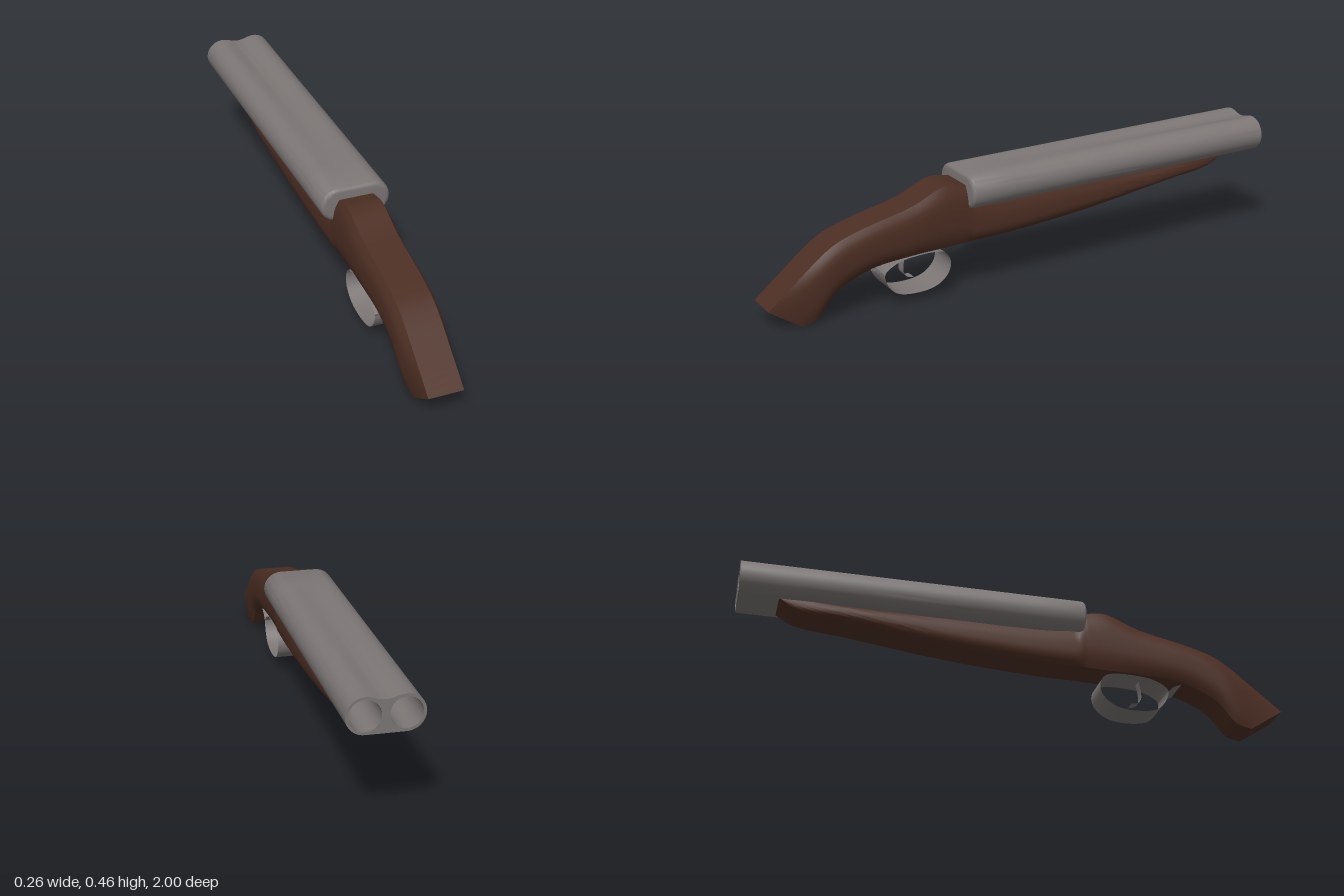
import * as THREE from 'three';
import { toCreasedNormals } from 'three/addons/utils/BufferGeometryUtils.js';

const wood = new THREE.MeshStandardMaterial({ color: 0x4c2e23 });
wood.name = 'darkWood';
const steel = new THREE.MeshStandardMaterial({ color: 0x7c7675, side: THREE.DoubleSide });
steel.name = 'greySteel';

// Smooth side-view path through [z, y] points
const path = (points, closed = false) =>
  new THREE.CatmullRomCurve3(points.map(([z, y]) => new THREE.Vector3(0, y, z)), closed);

// Skin a list of rings (counter-clockwise seen from +z, running towards -z)
function loft(rings, capStart, capEnd, crease) {
  const n = rings[0].length, pos = [];
  const tri = (...pts) => pts.forEach(p => pos.push(p.x, p.y, p.z));
  for (let i = 0; i < rings.length - 1; i++) {
    for (let j = 0; j < n; j++) {
      const k = (j + 1) % n;
      const a = rings[i][j], b = rings[i][k], c = rings[i + 1][k], d = rings[i + 1][j];
      tri(a, d, b);
      tri(b, d, c);
    }
  }
  const cap = (ring, flip) => {
    const mid = new THREE.Vector3();
    ring.forEach(p => mid.addScaledVector(p, 1 / n));
    ring.forEach((p, j) => {
      const q = ring[(j + 1) % n];
      if (flip) tri(mid, q, p); else tri(mid, p, q);
    });
  };
  if (capStart) cap(rings[0], false);
  if (capEnd) cap(rings[rings.length - 1], true);
  const g = new THREE.BufferGeometry();
  g.setAttribute('position', new THREE.Float32BufferAttribute(pos, 3));
  return toCreasedNormals(g, crease);
}

// Stock section between a top and a bottom point: flat top and bottom, bulging sides
function stockRing(top, bottom, topWidth) {
  const side = [], steps = 10;
  const taper = THREE.MathUtils.smoothstep(1 - top.z, -0.06, 0.22) * THREE.MathUtils.smoothstep(top.z, -1.05, -0.5);
  for (let i = 0; i <= steps; i++) {
    const t = i / steps;
    const base = THREE.MathUtils.lerp(0.063, topWidth, t);
    const mid = Math.max(base, 0.063 + 0.024 * taper);
    const p = bottom.clone().lerp(top, t);
    p.x = base + (mid - base) * (1 - Math.abs(2 * t - 1) ** 3);
    side.push(p);
  }
  const other = side.map(p => new THREE.Vector3(-p.x, p.y, p.z)).reverse();
  return [...side, ...other];
}

// Stock sections sampled along matching top and bottom lines
function stockRings(topLine, bottomLine, count, topWidth) {
  const top = path(topLine), bottom = path(bottomLine), rings = [];
  for (let i = 0; i <= count; i++) {
    rings.push(stockRing(top.getPoint(i / count), bottom.getPoint(i / count), topWidth(i / count)));
  }
  return rings;
}

// Barrel section: two round sides joined by a flat bottom and a dipping top
const HALF = 0.066, RADIUS = 0.063;
function barrelRing(z, inset = 0) {
  const t = (0.25 - z) / 1.25;
  const y = 0.378 + 0.0225 * t, r = RADIUS - inset, dip = 0.013 * t;
  const ring = [], arc = 20, span = 16;
  const addArc = (x, start) => {
    for (let i = 0; i <= arc; i++) {
      const a = start + Math.PI * i / arc;
      ring.push(new THREE.Vector3(x + r * Math.cos(a), y + r * Math.sin(a), z));
    }
  };
  addArc(HALF, -Math.PI / 2);
  for (let i = 1; i < span; i++) {
    const x = HALF * (1 - 2 * i / span);
    ring.push(new THREE.Vector3(x, y + r - dip * Math.cos(Math.PI * x / (2 * HALF)) ** 2, z));
  }
  addArc(-HALF, Math.PI / 2);
  return ring;
}

// Bent metal strip following a path
function strip(curve, width) {
  const n = 48;
  const g = new THREE.PlaneGeometry(width, 1, 1, n);
  const p = g.attributes.position;
  for (let i = 0; i < p.count; i++) {
    const c = curve.getPoint(Math.floor(i / 2) / n);
    p.setXYZ(i, p.getX(i), c.y, c.z);
  }
  g.computeVertexNormals();
  return g;
}

export function createModel() {
  const group = new THREE.Group();
  const add = (name, geometry, material) => {
    const mesh = new THREE.Mesh(geometry, material);
    mesh.name = name;
    group.add(mesh);
    return mesh;
  };

  // Grip, then the fore-end that steps down under the barrels
  const grip = stockRings(
    [[1, 0.08], [0.9, 0.163], [0.76, 0.27], [0.65, 0.31], [0.46, 0.357], [0.33, 0.409], [0.25, 0.4]],
    [[0.88, 0.002], [0.825, 0.018], [0.75, 0.1], [0.63, 0.157], [0.46, 0.177], [0.33, 0.182], [0.25, 0.186]],
    30, () => 0.063);
  const foreEnd = stockRings(
    [[0.23, 0.32], [0.1, 0.311], [-0.24, 0.317], [-0.6, 0.327], [-0.8, 0.338], [-0.865, 0.344]],
    [[0.23, 0.187], [0.1, 0.191], [-0.24, 0.22], [-0.6, 0.271], [-0.8, 0.3], [-0.86, 0.337]],
    30, t => 0.078 - 0.014 * t ** 3);
  add('stock', loft([...grip, ...foreEnd], true, true, 0.6), wood);

  // Twin barrel body with a rounded breech edge
  const rings = [];
  for (let i = 0; i <= 5; i++) {
    const a = i / 5 * Math.PI / 2;
    rings.push(barrelRing(0.25 - 0.016 * (1 - Math.cos(a)), 0.016 * (1 - Math.sin(a))));
  }
  for (let i = 1; i <= 8; i++) rings.push(barrelRing(0.234 - 1.234 * i / 8));
  add('barrels', loft(rings, true, false, 0.7), steel);

  // Muzzle face with two openings
  const boreRadius = 0.053, boreY = 0.4005, boreDepth = 0.45;
  const face = new THREE.Shape(barrelRing(-1).map(p => new THREE.Vector2(p.x, p.y)));
  for (const s of [-1, 1]) {
    const hole = new THREE.Path();
    hole.absarc(s * HALF, boreY, boreRadius, 0, Math.PI * 2, true);
    face.holes.push(hole);
  }
  add('muzzleFace', new THREE.ShapeGeometry(face, 24), steel).position.z = -1;

  // Bores and their closed ends
  for (const s of [-1, 1]) {
    const side = s > 0 ? 'left' : 'right';
    const tube = new THREE.CylinderGeometry(boreRadius, boreRadius, boreDepth, 40, 1, true);
    tube.rotateX(Math.PI / 2);
    add(side + 'Bore', tube, steel).position.set(s * HALF, boreY, -1 + boreDepth / 2);
    const end = new THREE.CircleGeometry(boreRadius, 40);
    end.rotateY(Math.PI);
    add(side + 'BoreEnd', end, steel).position.set(s * HALF, boreY, -1 + boreDepth);
  }

  // Trigger guard loop, its rear tail and the trigger
  const loop = path([
    [0.567, 0.125], [0.555, 0.08], [0.52, 0.046], [0.44, 0.034], [0.365, 0.047],
    [0.32, 0.085], [0.311, 0.128], [0.335, 0.165], [0.47, 0.17], [0.53, 0.154],
  ], true);
  add('triggerGuard', strip(loop, 0.124), steel);
  add('guardTail', strip(path([[0.567, 0.12], [0.585, 0.138], [0.62, 0.155]]), 0.124), steel);
  add('trigger', strip(path([[0.468, 0.172], [0.476, 0.13], [0.475, 0.098], [0.46, 0.082], [0.437, 0.078]]), 0.04), steel);

  return group;
}
